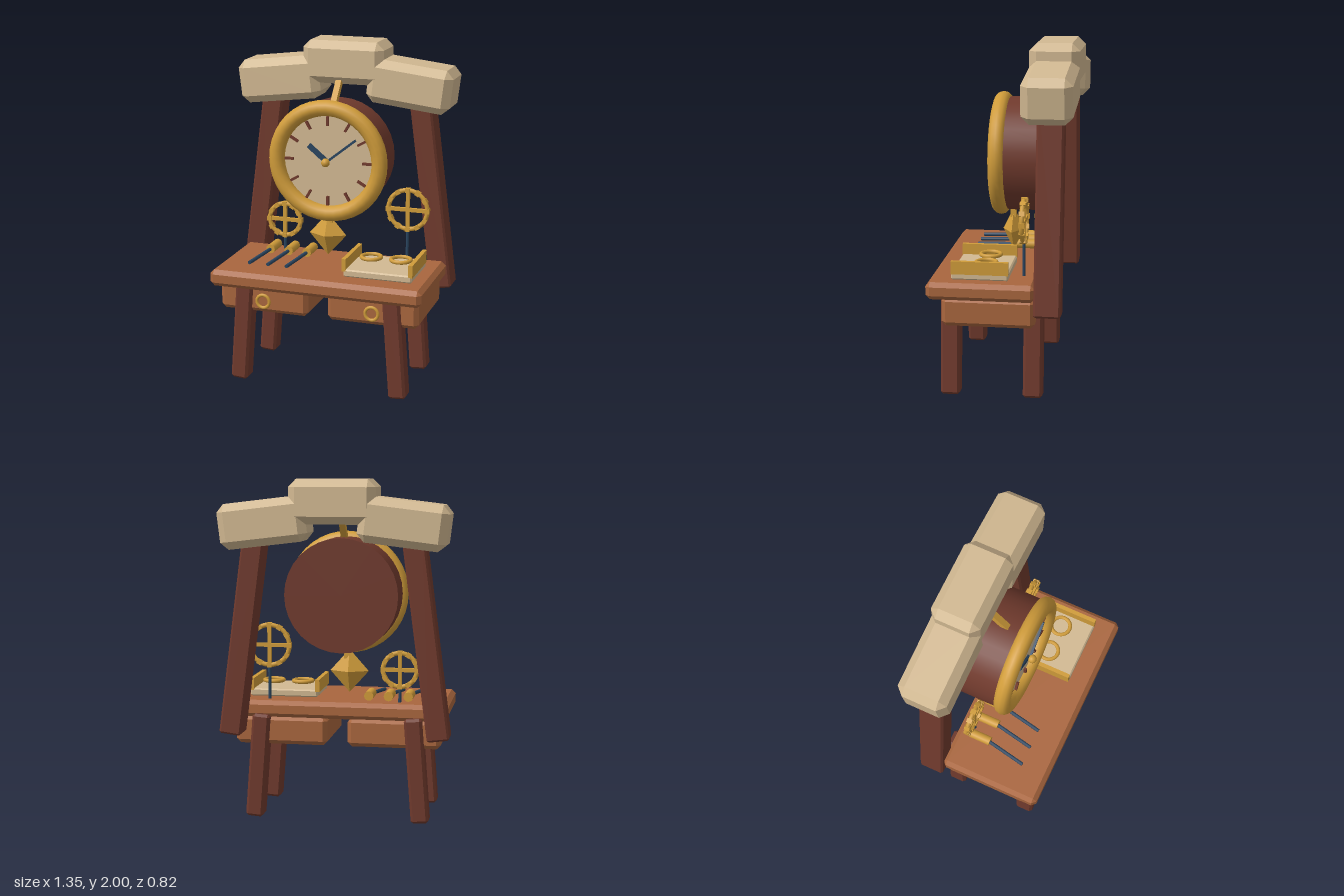
import * as THREE from 'three';
import { ConvexGeometry } from 'three/addons/geometries/ConvexGeometry.js';

const mat = (name, color) => {
  const m = new THREE.MeshStandardMaterial({ color });
  m.name = name;
  return m;
};

export function createModel() {
  const root = new THREE.Group();
  root.name = 'clockWorkbench';
  const stone = mat('pale stone', 0xd2b992);
  const wood = mat('warm wood', 0xa9663e);
  const darkWood = mat('dark red wood', 0x703a2d);
  const gold = mat('brass', 0xd09c3a);
  const steel = mat('blue steel', 0x2a4560);

  const add = (name, geo, material, x = 0, y = 0, z = 0, parent = root) => {
    const m = new THREE.Mesh(geo, material);
    m.name = name;
    m.position.set(x, y, z);
    parent.add(m);
    return m;
  };

  // Box with every edge cut at 45 degrees
  const chamferBox = (w, h, d, b) => {
    const pts = [];
    for (const sx of [-1, 1]) for (const sy of [-1, 1]) for (const sz of [-1, 1]) {
      for (let k = 0; k < 3; k++) {
        pts.push(new THREE.Vector3(
          sx * (w / 2 - (k === 0 ? 0 : b)),
          sy * (h / 2 - (k === 1 ? 0 : b)),
          sz * (d / 2 - (k === 2 ? 0 : b))));
      }
    }
    return new ConvexGeometry(pts);
  };

  // Cylinder between two points
  const rod = (name, a, b, r, material, sides = 10) => {
    const from = new THREE.Vector3(...a), dir = new THREE.Vector3(...b).sub(from);
    const m = add(name, new THREE.CylinderGeometry(r, r, dir.length(), sides), material);
    m.position.copy(from).addScaledVector(dir, 0.5);
    m.quaternion.setFromUnitVectors(new THREE.Vector3(0, 1, 0), dir.normalize());
    return m;
  };

  // Table top
  add('tableTop', chamferBox(1.29, 0.1, 0.62, 0.025), wood, 0, 0.648, 0.1);

  for (const s of [-1, 1]) {
    // Legs, splayed outward
    for (const z of [0.29, -0.187]) {
      add('leg', chamferBox(0.105, 0.62, 0.112, 0.015), darkWood, s * 0.472, 0.311, z).rotation.z = s * 0.075;
    }
    // Drawers with ring pulls
    add('drawer', chamferBox(0.55, 0.17, 0.53, 0.025), wood, s * 0.335, 0.522, 0.06);
    add('drawerPull', new THREE.TorusGeometry(0.039, 0.01, 8, 24), gold, s * 0.335, 0.51, 0.33);
    // Leaning back posts
    add('backPost', chamferBox(0.13, 1.2, 0.153, 0.012), darkWood, s * 0.532, 1.113, -0.28).rotation.z = s * 0.13;
    // Side stones of the arch
    add('sideStone', chamferBox(0.51, 0.262, 0.288, 0.045), stone, s * 0.405, 1.752, -0.268).rotation.z = -s * 0.12;
  }
  add('keyStone', chamferBox(0.5, 0.255, 0.29, 0.045), stone, 0, 1.873, -0.268);

  // Clock
  const clock = new THREE.Group();
  clock.name = 'clock';
  clock.position.set(-0.022, 1.325, 0);
  root.add(clock);
  add('clockDrum', new THREE.CylinderGeometry(0.335, 0.335, 0.23, 32), darkWood, 0, 0, -0.085, clock).rotation.x = Math.PI / 2;
  add('clockFace', new THREE.CylinderGeometry(0.3, 0.3, 0.03, 32), stone, 0, 0, 0.035, clock).rotation.x = Math.PI / 2;
  add('clockRim', new THREE.TorusGeometry(0.317, 0.048, 12, 40), gold, 0, 0, 0.057, clock);
  for (let i = 0; i < 12; i++) {
    const a = i * Math.PI / 6;
    add('hourMark', new THREE.BoxGeometry(0.014, 0.055, 0.02), darkWood,
      Math.sin(a) * 0.24, Math.cos(a) * 0.24, 0.056, clock).rotation.z = -a;
  }
  const hand = (name, w, len, angle, z) => {
    add(name, new THREE.BoxGeometry(w, len, 0.014), steel,
      Math.sin(angle) * len / 2, Math.cos(angle) * len / 2, z, clock).rotation.z = -angle;
  };
  hand('hourHand', 0.03, 0.145, -0.88, 0.075);
  hand('minuteHand', 0.014, 0.228, 0.9, 0.085);
  add('handHub', new THREE.SphereGeometry(0.026, 12, 8), gold, 0, 0, 0.1, clock);

  // Slanted hanger from the key stone
  add('clockHanger', new THREE.BoxGeometry(0.036, 0.27, 0.036), gold, -0.022, 1.725, -0.125).rotation.x = -0.72;

  // Pendulum
  const gem = new THREE.OctahedronGeometry(1);
  gem.scale(0.116, 0.13, 0.064);
  add('pendulumBob', gem, gold, -0.042, 0.86, -0.005);
  add('pendulumRod', new THREE.BoxGeometry(0.04, 0.13, 0.035), gold, -0.03, 1.0, -0.005);

  // Gear wheels on thin stands
  for (const [x, y, R] of [[-0.36, 0.89, 0.1], [0.42, 1.02, 0.12]]) {
    const wheel = new THREE.Group();
    wheel.name = 'gearWheel';
    wheel.position.set(x, y, -0.123);
    root.add(wheel);
    add('gearRim', new THREE.TorusGeometry(R, 0.014, 8, 32), gold, 0, 0, 0, wheel);
    for (let i = 0; i < 12; i++) {
      const a = i * Math.PI / 6;
      add('gearTooth', new THREE.BoxGeometry(0.026, 0.028, 0.034), gold,
        Math.cos(a) * R, Math.sin(a) * R, 0, wheel).rotation.z = a;
    }
    add('gearSpoke', new THREE.BoxGeometry(R * 2, 0.022, 0.02), gold, 0, 0, 0, wheel);
    add('gearSpoke', new THREE.BoxGeometry(0.022, R * 2, 0.02), gold, 0, 0, 0, wheel);
    rod('gearStand', [x, 0.69, -0.123], [x, y - R, -0.123], 0.009, steel);
  }

  // Hand tools lying on the table
  for (const x of [-0.41, -0.293, -0.176]) {
    rod('toolHandle', [x, 0.73, -0.125], [x, 0.73, 0.005], 0.028, gold, 12);
    rod('toolShaft', [x - 0.002, 0.728, -0.01], [x - 0.045, 0.711, 0.24], 0.011, steel);
  }

  // Parts tray with two loose rings
  add('trayBase', chamferBox(0.41, 0.045, 0.325, 0.008), stone, 0.35, 0.72, 0.113);
  for (const s of [-1, 1]) {
    add('trayEnd', new THREE.BoxGeometry(0.025, 0.075, 0.325), gold, 0.347 + s * 0.2, 0.768, 0.113);
    add('trayRing', new THREE.TorusGeometry(0.058, 0.012, 8, 28), gold, 0.35 + s * 0.09, 0.775, 0.09).rotation.x = Math.PI / 2;
  }
  return root;
}
